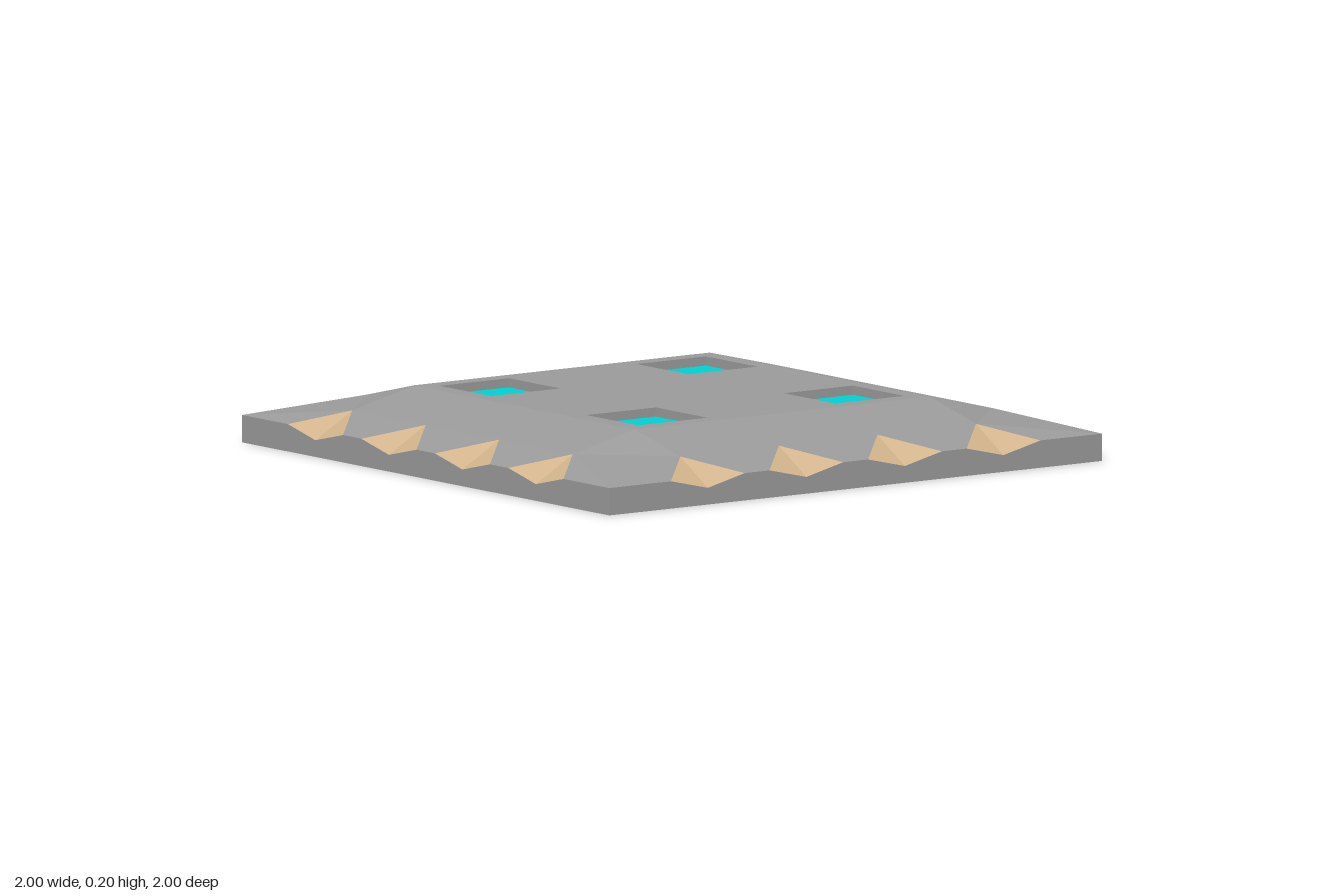
import * as THREE from 'three';

const EDGE = 0.09, DIP = 0.055, MID = 0.14, TOP = 0.2; // heights
const FLAT = 0.6, APEX = 0.85, NOTCH = 0.15;           // plan distances
const NOTCHES = [-0.6, -0.2, 0.2, 0.6];
const PIT = 0.14, PIT_DEPTH = 0.03;

const material = (color) => new THREE.MeshStandardMaterial({ color, flatShading: true });

// Flat facets from convex polygons, corners counter-clockwise seen from outside
function facets(polygons) {
  const p = [];
  for (const c of polygons)
    for (let i = 1; i < c.length - 1; i++) p.push(...c[0], ...c[i], ...c[i + 1]);
  const g = new THREE.BufferGeometry();
  g.setAttribute('position', new THREE.Float32BufferAttribute(p, 3));
  g.computeVertexNormals();
  return g;
}

function part(parent, name, geometry, mat) {
  const mesh = new THREE.Mesh(geometry, mat);
  mesh.name = name;
  parent.add(mesh);
  return mesh;
}

export function createModel() {
  const model = new THREE.Group();
  model.name = 'floorTile';
  const stone = material(0x999999);
  const tan = material(0xd2b48c);
  const cyan = material(0x00ced1);

  // Sloping rim and scooped notches of one side, with its right-hand corner
  const apex = (x) => [x, MID, APEX];
  const edge = (x) => [x, EDGE, 1];
  const slope = [
    [[-FLAT, TOP, FLAT], apex(-FLAT), apex(FLAT), [FLAT, TOP, FLAT]],
    [edge(-1), edge(NOTCHES[0] - NOTCH), apex(NOTCHES[0])],
    [edge(NOTCHES[3] + NOTCH), edge(1), apex(NOTCHES[3])],
    [apex(FLAT), edge(1), [APEX, MID, FLAT]],
    [apex(FLAT), [APEX, MID, FLAT], [FLAT, TOP, FLAT]],
  ];
  const scoops = [];
  NOTCHES.forEach((x, i) => {
    const low = [x, DIP, 1];
    scoops.push([edge(x - NOTCH), low, apex(x)], [low, edge(x + NOTCH), apex(x)]);
    const next = NOTCHES[i + 1];
    if (next !== undefined)
      slope.push([apex(x), edge(x + NOTCH), edge(next - NOTCH), apex(next)]);
  });

  // Vertical side wall with a dipping upper edge
  const wall = new THREE.Shape().moveTo(-1, 0).lineTo(1, 0).lineTo(1, EDGE);
  for (const x of [...NOTCHES].reverse())
    wall.lineTo(x + NOTCH, EDGE).lineTo(x, DIP).lineTo(x - NOTCH, EDGE);
  wall.lineTo(-1, EDGE);

  const slopeGeo = facets(slope), scoopGeo = facets(scoops);
  const wallGeo = new THREE.ShapeGeometry(wall).translate(0, 0, 1);
  for (let i = 0; i < 4; i++) {
    const side = new THREE.Group();
    side.name = 'side' + (i + 1);
    side.rotation.y = i * Math.PI / 2;
    part(side, 'rimSlope', slopeGeo, stone);
    part(side, 'rimNotches', scoopGeo, tan);
    part(side, 'sideWall', wallGeo, stone);
    model.add(side);
  }

  // Flat top with four square openings
  const square = (path, cx, cy, r) => path.moveTo(cx - r, cy - r).lineTo(cx + r, cy - r)
    .lineTo(cx + r, cy + r).lineTo(cx - r, cy + r).closePath();
  const top = square(new THREE.Shape(), 0, 0, FLAT);
  const wallPlane = new THREE.PlaneGeometry(2 * PIT, PIT_DEPTH).translate(0, -PIT_DEPTH / 2, -PIT);
  const floorPlane = new THREE.PlaneGeometry(2 * PIT, 2 * PIT).rotateX(-Math.PI / 2);
  for (const x of [-0.4, 0.4]) for (const z of [-0.4, 0.4]) {
    top.holes.push(square(new THREE.Path(), x, -z, PIT));

    // Sunken coloured panel with its four walls
    const pit = new THREE.Group();
    pit.name = 'sunkenPanel';
    pit.position.set(x, TOP, z);
    part(pit, 'panelFloor', floorPlane, cyan).position.y = -PIT_DEPTH;
    for (let i = 0; i < 4; i++)
      part(pit, 'panelWall', wallPlane, stone).rotation.y = i * Math.PI / 2;
    model.add(pit);
  }
  part(model, 'topSurface', new THREE.ShapeGeometry(top).rotateX(-Math.PI / 2), stone).position.y = TOP;

  // Underside
  part(model, 'underside', new THREE.PlaneGeometry(2, 2).rotateX(Math.PI / 2), stone);
  return model;
}
